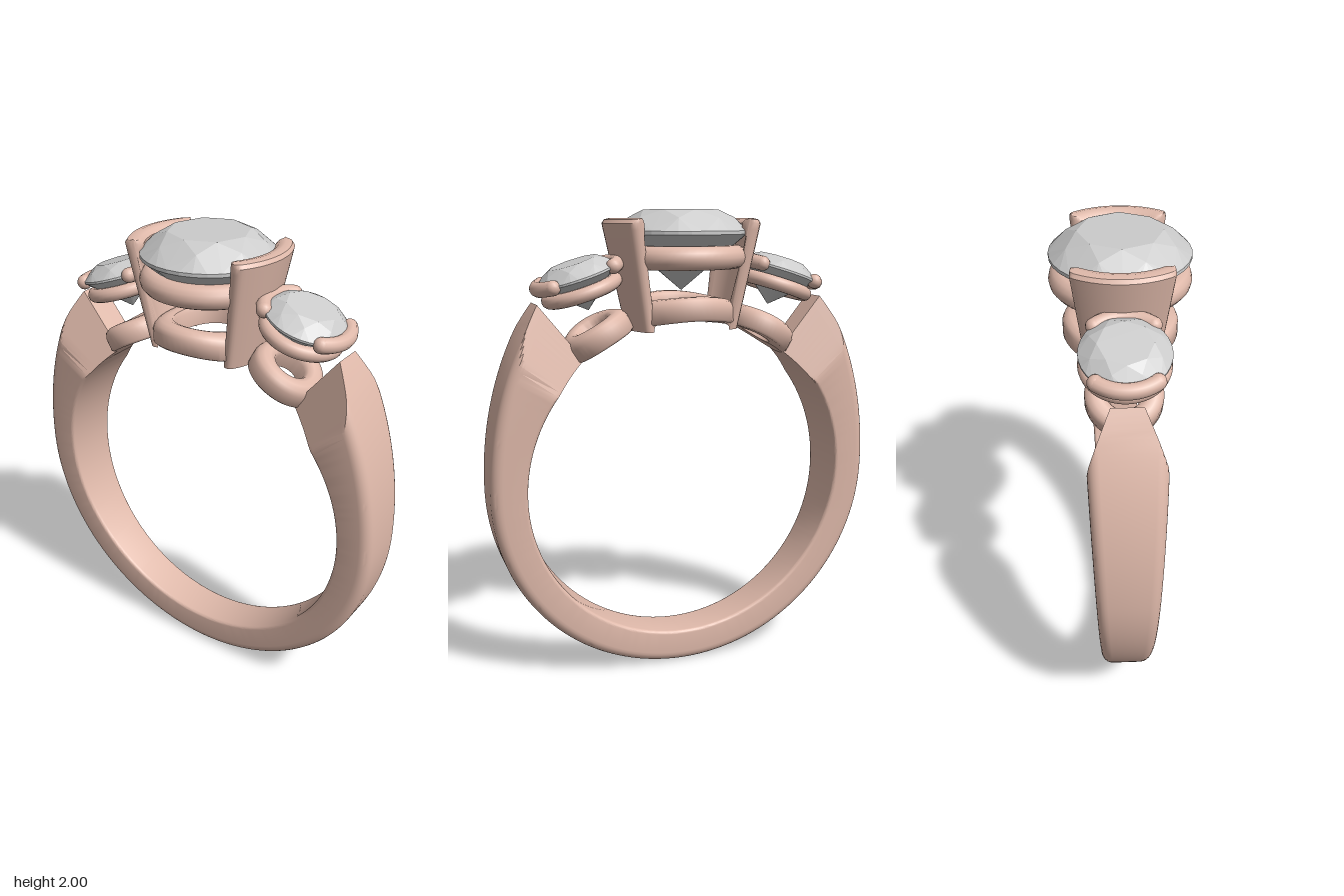
import * as THREE from 'three';
import { toCreasedNormals } from 'three/addons/utils/BufferGeometryUtils.js';
import { ConvexGeometry } from 'three/addons/geometries/ConvexGeometry.js';

const metal = new THREE.MeshStandardMaterial({ color: 0xdfb9aa });
const gem = new THREE.MeshStandardMaterial({ color: 0xcccccc });
const FINGER_Y = 0.855, FINGER_R = 0.705;
const rad = THREE.MathUtils.degToRad;

function add(parent, name, geometry, material = metal) {
  const mesh = new THREE.Mesh(geometry, material);
  mesh.name = name;
  parent.add(mesh);
  return mesh;
}

// Solid skin through a row of closed cross-sections, capped at both ends
function loft(sections, crease) {
  const n = sections[0].length, m = sections.length, pos = [], idx = [];
  sections.forEach(s => s.forEach(p => pos.push(p.x, p.y, p.z)));
  for (let i = 0; i < m - 1; i++) {
    for (let j = 0; j < n; j++) {
      const a = i * n + j, b = i * n + (j + 1) % n;
      idx.push(a, b, a + n, b, b + n, a + n);
    }
  }
  [0, m - 1].forEach((row, end) => {
    const c = new THREE.Vector3();
    sections[row].forEach(p => c.addScaledVector(p, 1 / n));
    const k = pos.length / 3;
    pos.push(c.x, c.y, c.z);
    for (let j = 0; j < n; j++) {
      const a = row * n + j, b = row * n + (j + 1) % n;
      if (end) idx.push(k, a, b); else idx.push(k, b, a);
    }
  });
  // turn the faces outward if the signed volume is negative
  const v = i => new THREE.Vector3().fromArray(pos, i * 3);
  let volume = 0;
  for (let i = 0; i < idx.length; i += 3) volume += v(idx[i]).dot(v(idx[i + 1]).cross(v(idx[i + 2])));
  if (volume < 0) idx.reverse();
  const g = new THREE.BufferGeometry();
  g.setAttribute('position', new THREE.Float32BufferAttribute(pos, 3));
  g.setIndex(idx);
  return toCreasedNormals(g, crease);
}

// Band: flares and widens upward, with chamfered tips at both ends
function bandGeometry() {
  const END = 51, sections = [];
  for (let i = 0; i <= 188; i++) {
    const deg = -90 + (i / 94 - 1) * (END + 90);
    const up = deg < -90 ? -180 - deg : deg;
    const a = rad(deg), ro = 0.853 + 0.147 * (Math.max(0, up) / END) ** 2;
    const w = 0.09 + 0.04 * Math.max(0, FINGER_Y + ro * Math.sin(a));
    const section = [];
    // corners: radius, side, rounding, start angle
    [[ro, 1, 0.045, 0], [FINGER_R, 1, 0.015, 90], [FINGER_R, -1, 0.015, 180], [ro, -1, 0.045, 270]]
      .forEach(([r, side, c, start]) => {
        const cr = r === ro ? r - c : r + c;
        for (let k = 0; k <= 6; k++) {
          const t = rad(start + k * 15), rho = cr + c * Math.cos(t);
          const limit = 0.06 + 0.43 * rho * Math.sin(rad(Math.min(90, END - up)));
          const z = THREE.MathUtils.clamp(side * (w - c) + c * Math.sin(t), -limit, limit);
          section.push(new THREE.Vector3(rho * Math.cos(a), FINGER_Y + rho * Math.sin(a), z));
        }
      });
    sections.push(section);
  }
  return loft(sections, 0.36);
}

// Curved claw plate hugging the centre stone, with an inward lip on top
function clawGeometry() {
  const profile = [[0.238, 1.512], [0.325, 1.92], [0.33, 1.945], [0.32, 1.96], [0.295, 1.966], [0.27, 1.96],
    [0.255, 1.945], [0.256, 1.925], [0.272, 1.89], [0.262, 1.83], [0.188, 1.535]];
  const sections = [];
  for (let i = -14; i <= 14; i++) {
    const t = i / 14, a = rad(39) * Math.sin(t * Math.PI / 2);
    const edge = Math.max(0, (Math.abs(a) - rad(33)) / rad(6));
    const k = Math.max(0.1, Math.sqrt(1 - edge * edge));
    sections.push(profile.map(([r, y]) => {
      const mid = 0.212 + (y - 1.52) * 0.19, q = mid + (r - mid) * k;
      return new THREE.Vector3(q * Math.cos(a), y, q * Math.sin(a));
    }));
  }
  return loft(sections, 0.7);
}

// Faceted round stone, girdle at y = 0
function stoneGeometry() {
  const points = [new THREE.Vector3(0, -0.24, 0)];
  const ring = (n, r, y, shift) => {
    for (let i = 0; i < n; i++) {
      const a = (i + shift) / n * Math.PI * 2;
      points.push(new THREE.Vector3(r * Math.cos(a), y, r * Math.sin(a)));
    }
  };
  ring(8, 0.165, 0.09, 0);
  ring(8, 0.222, 0.058, 0.5);
  ring(32, 0.275, 0.006, 0);
  ring(32, 0.275, -0.008, 0);
  ring(8, 0.205, -0.062, 0.5);
  return new ConvexGeometry(points);
}

// Flat ring bent over the finger circle
function bentRingGeometry(ri, ro) {
  const h = 0.095;
  const profile = [[ri, 0], [ro - 0.01, 0], [ro, 0.01], [ro, h - 0.03], [ro - 0.009, h - 0.009], [ro - 0.03, h],
    [ri + 0.03, h], [ri + 0.009, h - 0.009], [ri, h - 0.03], [ri, 0]];
  const g = new THREE.LatheGeometry(profile.map(p => new THREE.Vector2(...p)), 48);
  const p = g.attributes.position;
  for (let i = 0; i < p.count; i++) p.setY(i, p.getY(i) + Math.sqrt(FINGER_R ** 2 - p.getX(i) ** 2));
  return toCreasedNormals(g, 0.9);
}

// Stone with the round gallery wire beneath it
function setting(name, scale) {
  const g = new THREE.Group();
  g.name = name;
  add(g, 'stone', stoneGeometry(), gem).scale.setScalar(scale);
  const wire = add(g, 'galleryWire', new THREE.TorusGeometry(0.23 * scale, 0.048 * scale, 14, 56).rotateX(Math.PI / 2));
  wire.position.y = -0.1 * scale;
  return g;
}

// Round-ended bar clasping the rim of a side stone
function barClaw() {
  const g = new THREE.Group(), R = 0.17, tube = 0.031, half = rad(40);
  g.name = 'barClaw';
  add(g, 'bar', new THREE.TorusGeometry(R, tube, 12, 20, half * 2).rotateZ(-half).rotateX(Math.PI / 2));
  for (const s of [-1, 1]) {
    add(g, 'barEnd', new THREE.SphereGeometry(tube, 14, 10)).position.set(R * Math.cos(half), 0, s * R * Math.sin(half));
  }
  return g;
}

export function createModel() {
  const model = new THREE.Group();
  model.name = 'threeStoneRing';
  add(model, 'band', bandGeometry());

  // Centre setting
  const centre = setting('centreSetting', 1);
  centre.position.y = 1.91;
  model.add(centre);
  add(model, 'centreBaseRing', bentRingGeometry(0.14, 0.23)).position.y = FINGER_Y;

  // Both shoulders
  for (const turn of [0, Math.PI]) {
    const side = new THREE.Group();
    side.name = turn ? 'rightShoulder' : 'leftShoulder';
    side.rotation.y = turn;
    add(side, 'centreClaw', clawGeometry());

    const small = setting('sideSetting', 0.618);
    small.position.set(0.45, 1.74, 0);
    small.rotation.z = rad(-18);
    for (const t of [0, Math.PI]) {
      const claw = barClaw();
      claw.rotation.y = t;
      small.add(claw);
    }
    side.add(small);

    const base = add(side, 'sideBaseRing', bentRingGeometry(0.065, 0.15));
    base.position.y = FINGER_Y;
    base.rotation.z = rad(-30);
    model.add(side);
  }
  return model;
}
